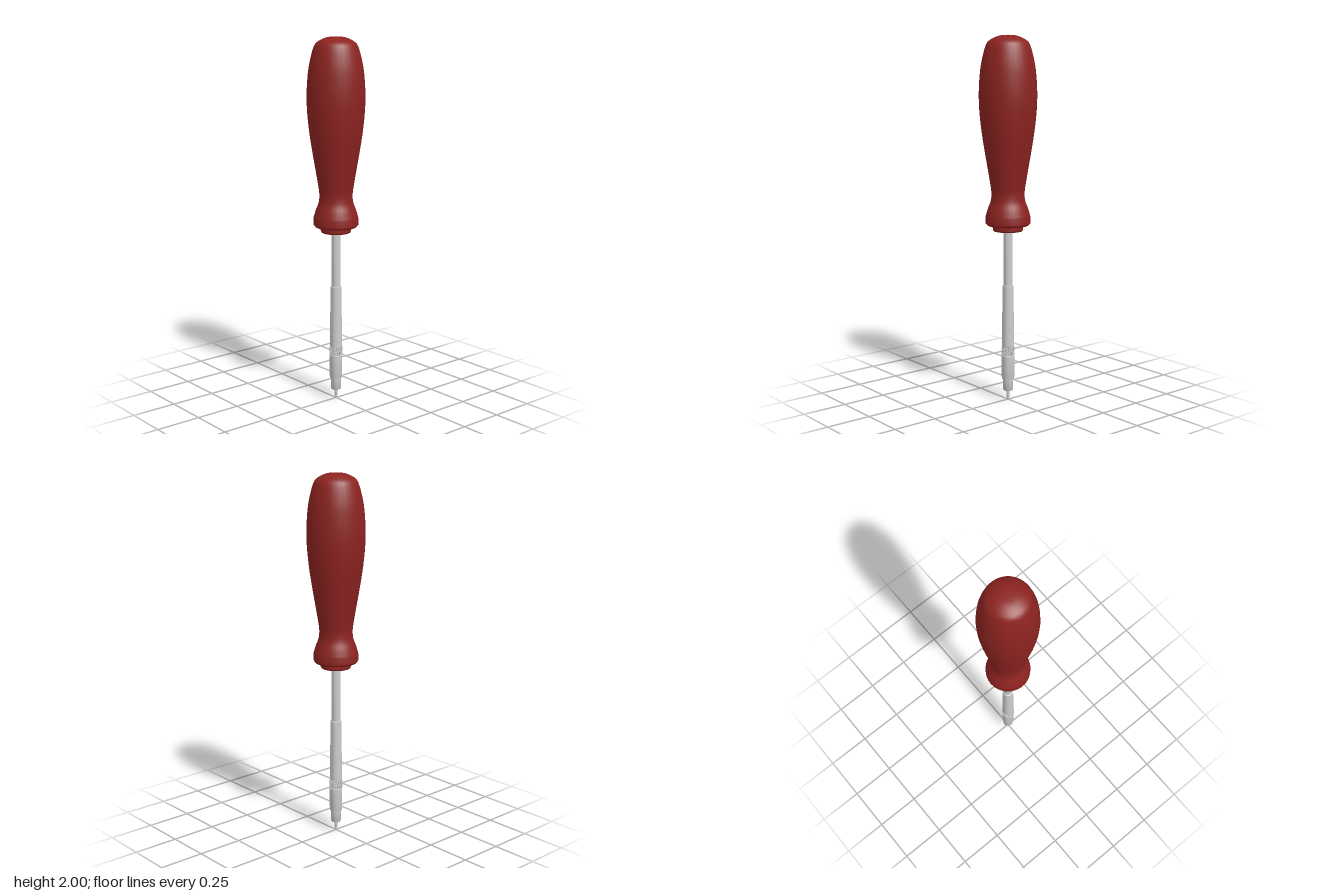
import * as THREE from 'three';
import { toCreasedNormals } from 'three/addons/utils/BufferGeometryUtils.js';

const red = new THREE.MeshStandardMaterial({ color: 0x8c2320 });
const grey = new THREE.MeshStandardMaterial({ color: 0xcccccc });

const vec = ([r, y]) => new THREE.Vector2(r, y);

// Turned part: profile of [radius, y] running from bottom to top
function turned(name, profile, material, segments = 32) {
  const geometry = new THREE.LatheGeometry(profile, segments);
  const mesh = new THREE.Mesh(toCreasedNormals(geometry, 0.6), material);
  mesh.name = name;
  return mesh;
}

export function createModel() {
  const model = new THREE.Group();
  model.name = 'screwdriver';

  // Handle: flared foot, narrow neck, full belly and domed end
  const curve = new THREE.SplineCurve([
    [0.121, 1.035], [0.109, 1.075], [0.094, 1.115], [0.09, 1.16], [0.096, 1.21],
    [0.111, 1.3], [0.128, 1.4], [0.143, 1.5], [0.153, 1.6], [0.156, 1.68],
    [0.153, 1.76], [0.143, 1.85], [0.12, 1.94], [0.098, 1.972], [0.05, 1.995], [0, 2],
  ].map(vec)).getPoints(60);
  curve[curve.length - 1].x = 0;
  model.add(turned('handle',
    [...[[0, 0.985], [0.113, 0.985], [0.121, 0.995]].map(vec), ...curve], red));

  // Collar under the handle
  model.add(turned('collar',
    [[0, 0.953], [0.078, 0.953], [0.083, 0.96], [0.083, 0.99]].map(vec), red));

  // Thin shaft and the thicker tapered sleeve around its lower half
  model.add(turned('shaft', [[0.025, 0.6], [0.025, 0.96]].map(vec), grey, 24));
  model.add(turned('sleeve', [
    [0.028, 0.122], [0.033, 0.122], [0.035, 0.13], [0.035, 0.254], [0.031, 0.256],
    [0.031, 0.304], [0.034, 0.306], [0.03, 0.648], [0.025, 0.65],
  ].map(vec), grey, 24));

  // Knurled ring: two staggered rows of small teeth in the sleeve's groove
  const knurl = new THREE.Group();
  knurl.name = 'knurledRing';
  const tooth = new THREE.BoxGeometry(0.0055, 0.02, 0.008);
  const count = 20;
  for (let row = 0; row < 2; row++) {
    for (let i = 0; i < count; i++) {
      const a = ((i + row / 2) / count) * Math.PI * 2;
      const mesh = new THREE.Mesh(tooth, grey);
      mesh.name = 'knurlTooth';
      mesh.position.set(Math.sin(a) * 0.032, 0.268 + row * 0.024, Math.cos(a) * 0.032);
      mesh.rotation.y = a;
      knurl.add(mesh);
    }
  }
  model.add(knurl);

  // Bit holder nose and pointed bit
  model.add(turned('nose',
    [[0, 0.054], [0.025, 0.054], [0.028, 0.06], [0.029, 0.125]].map(vec), grey, 24));
  model.add(turned('bit',
    [[0, 0], [0.004, 0], [0.009, 0.02], [0.009, 0.06]].map(vec), grey, 12));

  return model;
}
